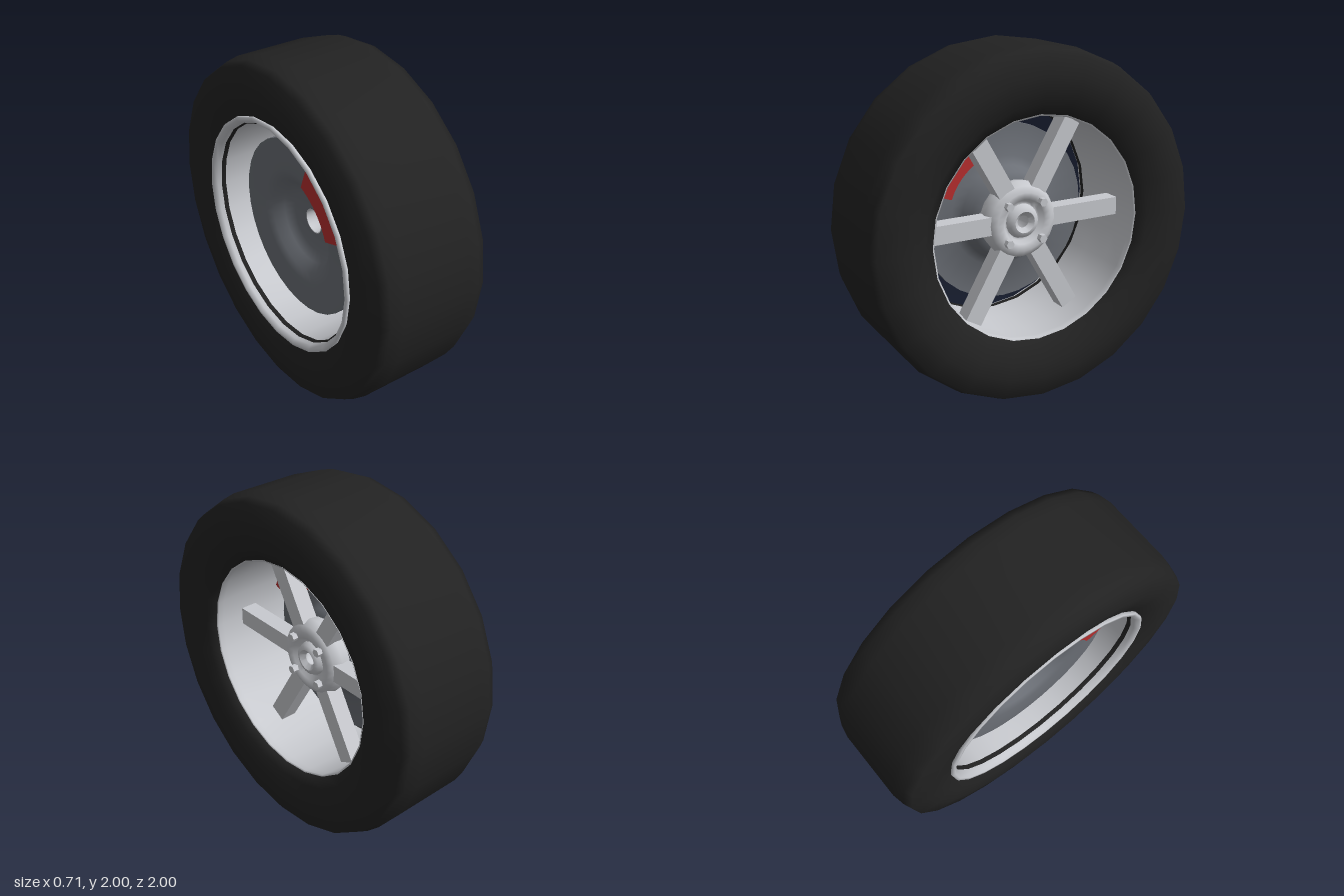
import * as THREE from 'three';
import { toCreasedNormals } from 'three/addons/utils/BufferGeometryUtils.js';

const mat = (name, color) => {
  const m = new THREE.MeshStandardMaterial({ color });
  m.name = name;
  return m;
};

// Spins a profile of [radius, x] pairs round the x axis
function spin(profile, segments, crease) {
  const g = new THREE.LatheGeometry(profile.map(([r, x]) => new THREE.Vector2(r, x)), segments);
  g.rotateZ(-Math.PI / 2);
  return crease ? toCreasedNormals(g, crease) : g;
}

export function createModel() {
  const rubber = mat('black rubber', 0x222222);
  const alloy = mat('light alloy', 0xc8cacf);
  const steel = mat('grey steel', 0x6b6f76);
  const red = mat('caliper red', 0xb82e2e);
  const rimAlloy = mat('rim alloy', 0xc8cacf);
  rimAlloy.side = THREE.DoubleSide;

  const model = new THREE.Group();
  model.name = 'wheel';
  const axle = new THREE.Group();
  axle.name = 'wheelAssembly';
  axle.position.y = 1;
  model.add(axle);
  const add = (name, geometry, material, parent = axle) => {
    const mesh = new THREE.Mesh(geometry, material);
    mesh.name = name;
    parent.add(mesh);
    return mesh;
  };

  // Tyre: one side of the profile, mirrored
  const side = [[0.66, 0.2], [0.637, 0.28], [0.7, 0.318], [0.77, 0.342], [0.85, 0.354],
    [0.965, 0.333], [0.985, 0.285], [1, 0.21]];
  const tyre = [...side.map(([r, x]) => [r, -x]), ...side.slice().reverse()];
  add('tyre', spin(tyre, 24), rubber);

  // Rim barrel with a flared lip on the inner side
  add('rim', spin([[0.675, -0.3], [0.69, -0.318], [0.685, -0.332], [0.668, -0.332], [0.65, -0.31],
    [0.643, -0.26], [0.645, -0.1], [0.645, 0.1], [0.636, 0.24], [0.63, 0.28], [0.64, 0.285]], 24), rimAlloy);

  // Hub with a raised ring round the bore
  add('hub', spin([[0.07, -0.06], [0.19, -0.06], [0.215, -0.02], [0.225, 0.05], [0.205, 0.1],
    [0.17, 0.12], [0.13, 0.115], [0.113, 0.085], [0.1, 0.085], [0.088, 0.115], [0.062, 0.125],
    [0.035, 0.1], [0.07, 0.06], [0.07, -0.06]], 24, 1.1), alloy);

  // Six spokes
  const spokes = new THREE.Group();
  spokes.name = 'spokes';
  axle.add(spokes);
  const spoke = new THREE.BoxGeometry(0.1, 0.105, 0.475).translate(0.05, 0, 0.3975);
  for (let i = 0; i < 6; i++) add('spoke', spoke, alloy, spokes).rotation.x = i * Math.PI / 3;

  // Four hexagonal wheel bolts
  const bolt = toCreasedNormals(new THREE.CylinderGeometry(0.025, 0.025, 0.06, 6).rotateZ(-Math.PI / 2), 0.5);
  for (const y of [-0.107, 0.107]) {
    for (const z of [-0.107, 0.107]) add('bolt', bolt, alloy).position.set(0.12, y, z);
  }

  // Brake disc with a hat that reaches out to the hub
  add('brakeDisc', spin([[0.075, -0.06], [0.18, -0.065], [0.24, -0.1], [0.28, -0.155], [0.34, -0.17],
    [0.523, -0.17], [0.523, -0.13], [0.33, -0.13], [0.28, -0.1], [0.255, -0.03], [0.2, 0],
    [0.075, 0], [0.075, -0.06]], 32, 1.1), steel);

  // Brake caliper: a ring sector straddling the disc
  const a = THREE.MathUtils.degToRad(110);
  const b = THREE.MathUtils.degToRad(160);
  const sector = new THREE.Shape();
  sector.absarc(0, 0, 0.562, a, b, false);
  sector.absarc(0, 0, 0.375, b, a, true);
  const caliper = new THREE.ExtrudeGeometry(sector, { depth: 0.15, bevelEnabled: false, curveSegments: 5 });
  caliper.rotateY(Math.PI / 2).translate(-0.23, 0, 0);
  add('brakeCaliper', caliper, red);

  return model;
}
